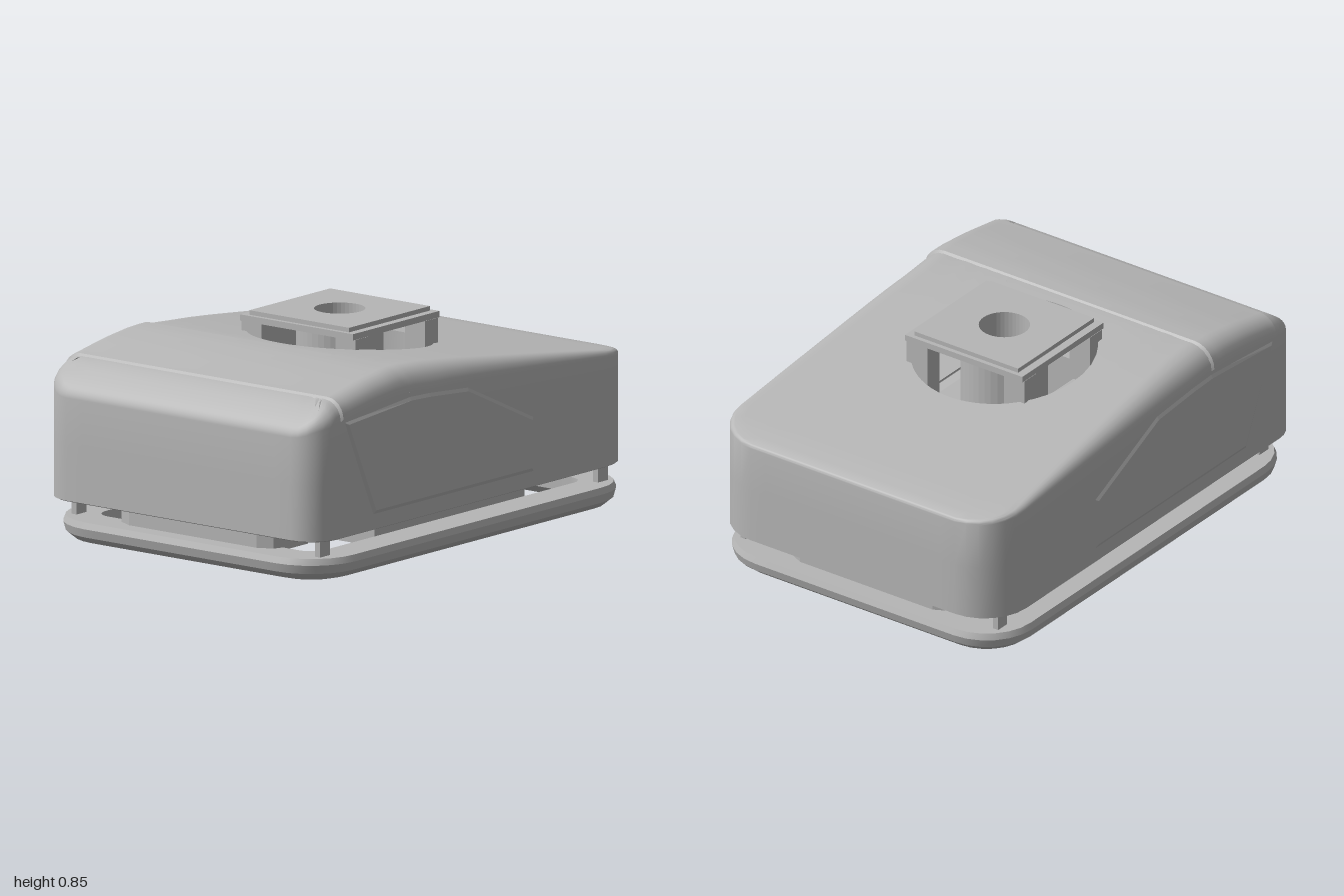
import * as THREE from 'three';
import { toCreasedNormals } from 'three/addons/utils/BufferGeometryUtils.js';

const grey = new THREE.MeshStandardMaterial({ color: 0xb6b6b6, side: THREE.DoubleSide });
grey.name = 'plain grey';

// Linear interpolation through [x, value] pairs
function curve(points, x) {
  for (let i = 1; i < points.length; i++) {
    const [x0, v0] = points[i - 1], [x1, v1] = points[i];
    if (x <= x1) return v0 + (v1 - v0) * Math.max(0, (x - x0) / (x1 - x0));
  }
  return points[points.length - 1][1];
}
// Roof height and depth of the rounded shoulder along the length
const roof = (x) => curve([[-1, 0.61], [-0.96, 0.655], [-0.87, 0.72], [-0.65, 0.76], [-0.5, 0.778], [-0.4, 0.78],
  [-0.2, 0.765], [0, 0.743], [0.5, 0.68], [0.9, 0.627], [1, 0.605]], x);
const shoulder = (x) => curve([[-1, 0.02], [-0.87, 0.08], [-0.3, 0.1], [1, 0.015]], x);

// Rounded rectangle in plan, as points with outward normals
function outline(hx, hz, rRight, rLeft, steps = 14) {
  const pts = [];
  [[1, 1, rRight], [-1, 1, rLeft], [-1, -1, rLeft], [1, -1, rRight]].forEach(([sx, sz, r], c) => {
    for (let i = 0; i <= 6; i++) {
      const a = (c + i / 6) * Math.PI / 2, nx = Math.cos(a), nz = Math.sin(a);
      pts.push({ x: sx * (hx - r) + r * nx, z: sz * (hz - r) + r * nz, nx, nz });
    }
  });
  const out = [];
  pts.forEach((p, i) => {
    out.push(p);
    if (i % 7 !== 6) return;
    const q = pts[(i + 1) % pts.length];
    for (let k = 1; k < steps; k++) {
      const t = k / steps;
      out.push({ x: p.x + (q.x - p.x) * t, z: p.z + (q.z - p.z) * t, nx: p.nx, nz: p.nz });
    }
  });
  return out;
}
const inset = (p, d, y) => [p.x - p.nx * d, y, p.z - p.nz * d];

// Skin a list of cross-sections
function loft(rings, closed = true) {
  const n = rings[0].length, index = [];
  for (let j = 0; j < rings.length - 1; j++) {
    for (let i = 0; i < (closed ? n : n - 1); i++) {
      const k = (i + 1) % n, a = j * n + i, b = j * n + k;
      index.push(a, a + n, b, b, a + n, b + n);
    }
  }
  const g = new THREE.BufferGeometry();
  g.setAttribute('position', new THREE.Float32BufferAttribute(rings.flat(2), 3));
  g.setIndex(index);
  return toCreasedNormals(g, 0.5);
}
function polygon(points, Type = THREE.Shape) {
  return new Type(points.map(([x, y]) => new THREE.Vector2(x, y)));
}
const rect = (w, h, Type, x = 0) => polygon([[x - w, -h], [x + w, -h], [x + w, h], [x - w, h]], Type);
function disc(r, Type = THREE.Shape) {
  const s = new Type();
  s.absarc(0, 0, r, 0, Math.PI * 2, false);
  return s;
}
// Horizontal slab from a plan shape
function slab(shape, y, height) {
  const g = new THREE.ExtrudeGeometry(shape, { depth: height, bevelEnabled: false, curveSegments: 20 });
  return g.rotateX(-Math.PI / 2).translate(0, y, 0);
}

export function createModel() {
  const model = new THREE.Group();
  const add = (name, geometry, x = 0, y = 0, z = 0) => {
    const m = new THREE.Mesh(geometry, grey);
    m.name = name;
    m.position.set(x, y, z);
    model.add(m);
    return m;
  };
  const box = (name, w, h, d, x, y, z) => add(name, new THREE.BoxGeometry(w, h, d), x, y, z);

  // Housing: lip, wall, rounded shoulder, roof and round well
  const plan = outline(1, 0.692, 0.2, 0.13);
  const rings = [[0.12, 0.2], [0.01, 0.175], [0, 0.18], [0, 0.4]].map(([d, y]) => plan.map((p) => inset(p, d, y)));
  for (let k = 0; k <= 5; k++) {
    const a = k / 5 * Math.PI / 2;
    rings.push(plan.map((p) => {
      const r = shoulder(p.x), q = inset(p, r * (1 - Math.cos(a)), 0);
      q[1] = roof(q[0]) - r * (1 - Math.sin(a));
      return q;
    }));
  }
  const edge = rings[rings.length - 1];
  const rim = edge.map(([x, , z]) => [x, z].map((v) => v * 0.365 / Math.hypot(x, z)));
  for (let k = 1; k <= 18; k++) {
    const t = k / 18;
    rings.push(edge.map(([x, , z], i) => {
      const px = x + (rim[i][0] - x) * t, pz = z + (rim[i][1] - z) * t;
      return [px, roof(px), pz];
    }));
  }
  rings.push(rim.map(([x, z]) => [x, 0.6, z]));
  add('housing', loft(rings));

  // Well floor with an opening round the column
  const well = disc(0.365);
  well.holes.push(rect(0.295, 0.205, THREE.Path));
  add('wellFloor', slab(well, 0.59, 0.01));

  // Raised band over the roof, sloping down to the housing at both ends
  const band = [];
  for (let i = -1; i <= 11; i++) {
    const end = i < 0 || i > 10, sign = i < 0 ? -1 : 1;
    const x = end ? -0.635 + sign * 0.222 : -0.84 + 0.041 * i;
    const lift = end ? -0.008 : 0.007, r = shoulder(x), section = [];
    for (const s of [1, -1]) {
      for (let k = 0; k <= 6; k++) {
        const a = (s > 0 ? k : 6 - k) / 6 * Math.PI / 2;
        section.push([x, roof(x) - r * (1 - Math.sin(a)) + lift, s * (0.692 + lift - r * (1 - Math.cos(a)))]);
      }
    }
    band.push(section);
  }
  add('roofBand', loft(band, false));

  // Raised side panels with sloping borders
  const panel = polygon([[-0.83, 0.64], [-0.65, 0.235], [0.35, 0.235], [0.35, 0.46], [-0.06, 0.65], [-0.3, 0.67], [-0.42, 0.675]]);
  for (const s of [1, -1]) {
    const plate = new THREE.ExtrudeGeometry(panel, {
      depth: 0.002, bevelEnabled: true, bevelSegments: 1, bevelSize: 0.02, bevelThickness: 0.01, bevelOffset: -0.02,
    });
    add('sidePanel', plate, 0, 0, s * 0.688 - 0.001);
  }

  // Bumper ring round the base
  const base = outline(0.99, 0.7, 0.22, 0.22);
  const profile = [[0.15, 0.1], [0.15, 0.04], [0.09, 0], [0.045, 0.012], [0.01, 0.04], [0, 0.075], [0.01, 0.1], [0.15, 0.1]];
  add('bumper', loft(profile.map(([d, y]) => base.map((p) => inset(p, d, y)))));

  // Chassis floor with two slots
  const floor = rect(0.465, 0.55);
  for (const s of [1, -1]) floor.holes.push(rect(0.045, 0.28, THREE.Path, s * 0.28));
  add('chassisFloor', slab(floor, 0.06, 0.14));

  // End pods, posts and cross ties
  for (const s of [1, -1]) {
    const pod = polygon([[0.69, -0.4], [0.69, 0.4], [0.83, 0.4], [0.88, 0.38], [0.91, 0.32],
      [0.91, -0.32], [0.88, -0.38], [0.83, -0.4]].map(([x, z]) => [s * x, z]));
    add('endPod', slab(pod, 0.09, 0.28));
    for (const t of [1, -1]) {
      box('post', 0.06, 0.14, 0.025, s * 0.86, 0.14, t * 0.61);
      box('floorTie', 0.3, 0.03, 0.12, s * 0.3, 0.075, t * 0.56);
    }
  }

  // Central column: hollow core, corner legs and mounting plate
  const core = disc(0.17);
  core.holes.push(disc(0.1, THREE.Path));
  add('columnCore', slab(core, 0.2, 0.61));
  for (const s of [1, -1]) {
    for (const t of [1, -1]) box('columnLeg', 0.08, 0.61, 0.1, s * 0.215, 0.505, t * 0.235);
  }
  const lower = rect(0.268, 0.283), upper = rect(0.25, 0.25);
  for (const s of [lower, upper]) s.holes.push(disc(0.1, THREE.Path));
  add('mountPlate', slab(lower, 0.81, 0.025));
  add('mountPlateTop', slab(upper, 0.835, 0.018));
  return model;
}
